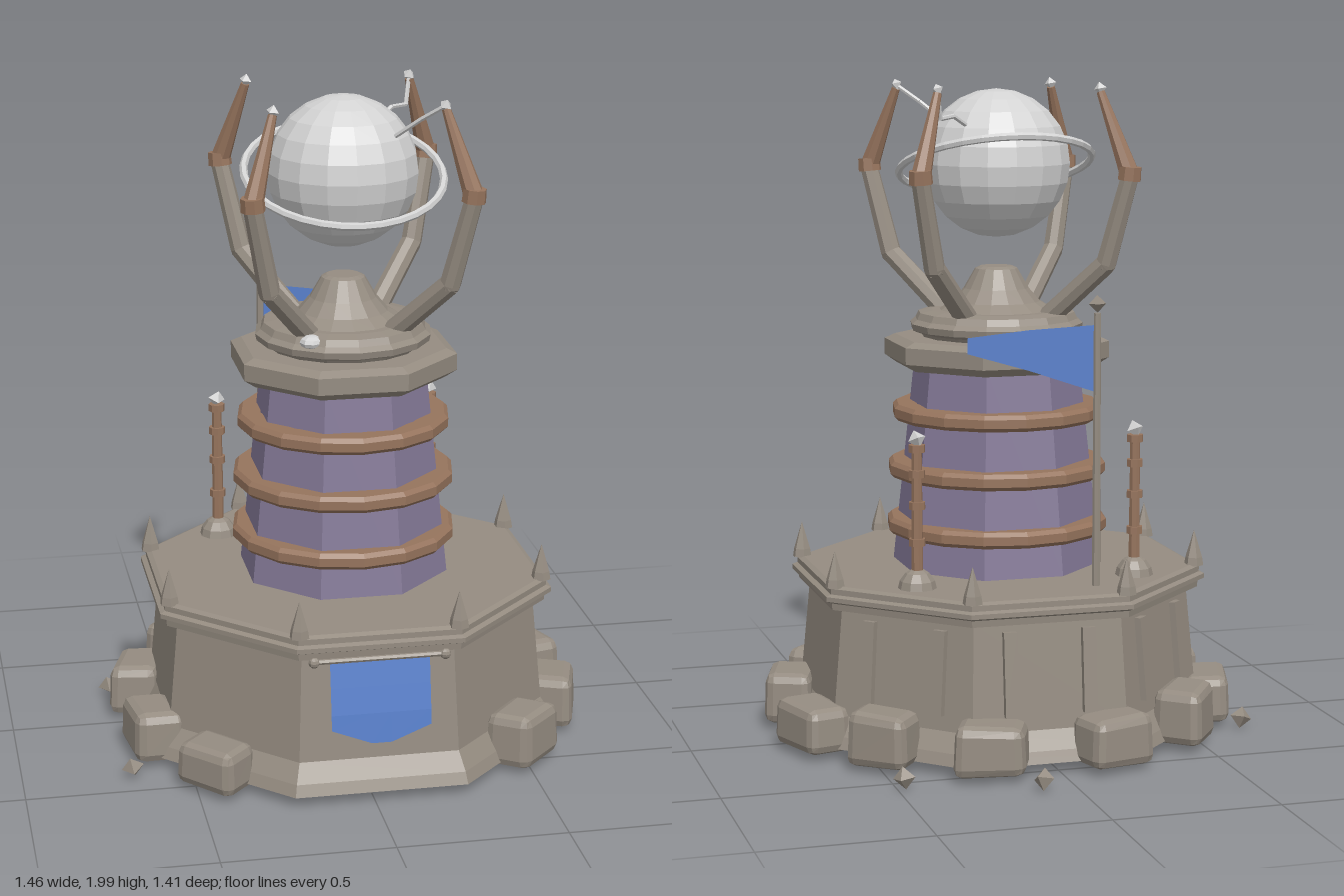
import * as THREE from 'three';
import { RoundedBoxGeometry } from 'three/addons/geometries/RoundedBoxGeometry.js';

const mat = (name, color, side = THREE.FrontSide) => {
  const m = new THREE.MeshStandardMaterial({ color, flatShading: true, side });
  m.name = name;
  return m;
};
const V = (x, y, z) => new THREE.Vector3(x, y, z);

export function createModel() {
  const stone = mat('stone', 0x958c81, THREE.DoubleSide);
  const purple = mat('purple wall', 0x857a98);
  const copper = mat('copper', 0x96745d);
  const silver = mat('silver', 0xd2d2d2);
  const blue = mat('blue cloth', 0x5880cc, THREE.DoubleSide);

  const model = new THREE.Group();
  model.name = 'orbTower';
  const root = new THREE.Group();
  root.name = 'tower';
  root.position.set(0.02, 0, 0.085);
  model.add(root);

  const add = (name, geo, material, pos) => {
    const mesh = new THREE.Mesh(geo, material);
    mesh.name = name;
    if (pos) mesh.position.copy(pos);
    root.add(mesh);
    return mesh;
  };
  // Octagonal lathe with flats facing the axes; profile gives [apothem, y]
  const octagon = (name, profile, material) => add(name, new THREE.LatheGeometry(
    profile.map(([a, y]) => new THREE.Vector2(a / Math.cos(Math.PI / 8), y)), 8, Math.PI / 8), material);
  const lathe = (name, profile, sides, material, pos) => add(name, new THREE.LatheGeometry(
    profile.map(([r, y]) => new THREE.Vector2(r, y)), sides), material, pos);
  // Tapered rod between two points
  const rod = (name, a, b, r0, r1, material, sides = 8) => {
    const dir = b.clone().sub(a);
    const m = add(name, new THREE.CylinderGeometry(r1, r0, dir.length(), sides), material,
      a.clone().add(b).multiplyScalar(0.5));
    m.quaternion.setFromUnitVectors(V(0, 1, 0), dir.normalize());
    return m;
  };
  const crystal = (name, pos, r, material) => {
    const m = add(name, new THREE.OctahedronGeometry(r), material, pos);
    m.rotation.set(0.3, pos.x * 9, 0.25);
    return m;
  };

  // Hollow base, rim and deck
  octagon('baseWall', [[0.618, 0.04], [0.605, 0.075], [0.572, 0.13], [0.543, 0.45]], stone);
  octagon('rim', [[0.54, 0.445], [0.575, 0.45], [0.577, 0.47], [0.595, 0.478], [0.595, 0.492],
    [0.58, 0.498], [0.58, 0.515], [0.565, 0.522], [0, 0.522]], stone);

  // Spikes at the rim corners
  for (let i = 0; i < 8; i++) {
    const a = Math.PI / 8 + i * Math.PI / 4;
    lathe('rimSpike', [[0.03, 0], [0.026, 0.025], [0, 0.11]], 6, stone,
      V(Math.sin(a) * 0.612, 0.518, Math.cos(a) * 0.612));
  }

  // Vertical ribs on the three back sides
  for (const a of [0.75, 1, 1.25]) for (const s of [-1, 1]) {
    const g = new THREE.BoxGeometry(0.04, 0.25, 0.03);
    g.rotateX(-0.09);
    g.translate(s * 0.12, 0.3, 0.562);
    g.rotateY(a * Math.PI);
    add('wallRib', g, stone);
  }

  // Boulders around the foot: x, z, width, height
  const boulders = [[-0.18, -0.61, 0.21, 0.15], [0.195, -0.61, 0.21, 0.15], [-0.47, -0.43, 0.2, 0.17],
    [0.47, -0.43, 0.2, 0.16], [-0.615, -0.2, 0.22, 0.15], [0.625, -0.205, 0.23, 0.14],
    [-0.615, 0.165, 0.21, 0.15], [0.625, 0.145, 0.2, 0.16], [-0.46, 0.44, 0.21, 0.13], [0.46, 0.43, 0.2, 0.16]];
  boulders.forEach(([x, z, w, h], i) => {
    const g = new RoundedBoxGeometry(w, h, 0.15, 1, 0.028);
    const p = g.attributes.position;
    for (let k = 0; k < p.count; k++) {
      const px = p.getX(k), py = p.getY(k), pz = p.getZ(k);
      const t = 1 - 0.9 * Math.max(0, py) + 0.6 * Math.sin(i * 2.3) * px;
      p.setXYZ(k, px * t + pz * 0.15 * Math.sin(i * 5), py * (1 + 0.5 * Math.cos(i * 3) * px), pz * t);
    }
    add('boulder', g, stone, V(x, 0.025 + h / 2, z)).rotation.y = Math.atan2(x, z) + 0.1 * Math.sin(i * 7);
  });
  for (const [x, z] of [[0.08, -0.77], [0.46, -0.645], [-0.7, -0.305], [-0.695, 0.32]]) {
    crystal('looseStone', V(x, 0.042, z), 0.034, stone);
  }

  // Purple tower with copper hoops
  octagon('towerWall', [[0.298, 0.52], [0.235, 1.15]], purple);
  for (const [y, r] of [[0.645, 0.34], [0.82, 0.336], [0.995, 0.322]]) {
    lathe('hoop', [[r - 0.07, y - 0.025], [r - 0.012, y - 0.025], [r, y - 0.013], [r, y + 0.013],
      [r - 0.012, y + 0.025], [r - 0.07, y + 0.025]], 16, copper);
  }

  // Capital, round plate and flared cap
  octagon('capital', [[0.2, 1.135], [0.285, 1.135], [0.32, 1.16], [0.32, 1.21], [0.29, 1.225], [0, 1.225]], stone);
  lathe('capPlate', [[0.225, 1.22], [0.235, 1.235], [0.262, 1.245], [0.266, 1.265], [0.25, 1.278], [0.24, 1.298],
    [0.2, 1.305], [0.175, 1.305], [0.135, 1.33], [0.1, 1.37], [0.065, 1.43], [0.05, 1.437], [0, 1.437]], 16, stone);
  add('silverPatch', new THREE.SphereGeometry(0.035, 8, 6), silver, V(-0.13, 1.285, 0.19)).scale.set(1, 0.6, 1);

  // Four jointed claws on the diagonals
  for (const sx of [-1, 1]) for (const sz of [-1, 1]) {
    const at = (d, y) => V(sx * d, y, sz * d);
    const foot = at(0.12, 1.28), elbow = at(0.265, 1.46), joint = at(0.32, 1.725), tip = at(0.25, 1.97);
    rod('clawFoot', foot, elbow, 0.034, 0.032, stone);
    add('clawElbow', new THREE.SphereGeometry(0.032, 8, 6), stone, elbow);
    rod('clawArm', elbow, joint, 0.032, 0.028, stone);
    rod('clawCollar', at(0.318, 1.712), at(0.321, 1.752), 0.036, 0.034, copper);
    rod('clawFinger', joint, tip, 0.031, 0.013, copper);
    crystal('clawTip', at(0.249, 1.98), 0.02, silver);
  }

  // Orb, tilted orbit ring and wires
  add('orb', new THREE.SphereGeometry(0.225, 16, 12), silver, V(0, 1.75, 0));
  const orbit = add('orbitRing', new THREE.TorusGeometry(0.295, 0.012, 6, 32), silver, V(0, 1.745, 0.01));
  orbit.rotation.x = Math.PI / 2 + 0.34;
  const wires = [[V(0.25, 1.98, 0.25), V(0.19, 1.93, 0.19), V(0.12, 1.865, 0.125)],
    [V(0.25, 1.98, -0.25), V(0.235, 1.895, -0.225), V(0.18, 1.9, -0.17), V(0.12, 1.865, -0.12)]];
  for (const w of wires) {
    for (let i = 1; i < w.length; i++) rod('wire', w[i - 1], w[i], 0.007, 0.007, silver, 6);
  }

  // Two copper posts behind the tower
  for (const s of [-1, 1]) {
    const x = s * 0.338, z = -0.33;
    lathe('postFoot', [[0.058, 0.52], [0.052, 0.545], [0.035, 0.568], [0.02, 0.577], [0, 0.577]], 10, stone, V(x, 0, z));
    rod('post', V(x, 0.56, z), V(x, 0.95, z), 0.018, 0.015, copper);
    for (const y of [0.66, 0.77, 0.865, 0.94]) rod('postBand', V(x, y - 0.011, z), V(x, y + 0.011, z), 0.025, 0.025, copper);
    crystal('postTip', V(x, 0.968, z), 0.027, silver);
  }

  // Flagpole with pennant
  const px = -0.18, pz = -0.443;
  rod('flagpole', V(px, 0.52, pz), V(px, 1.335, pz), 0.013, 0.011, stone);
  crystal('flagpoleTip', V(px, 1.362, pz), 0.026, stone);
  const pennant = new THREE.Shape([[0, 1.3], [0.2, 1.285], [0.38, 1.262], [0.38, 1.215], [0.2, 1.165], [0, 1.1]]
    .map(([x, y]) => new THREE.Vector2(x, y)));
  add('pennant', new THREE.ShapeGeometry(pennant), blue, V(px, 0, pz)).rotation.y = -0.25;

  // Front banner, curving outward, on a rod with knobs
  const w = 0.147;
  const rows = [[0.437, 0.572], [0.36, 0.585], [0.28, 0.598], [0.235, 0.602]];
  const pts = [], idx = [];
  rows.forEach(([y, z], i) => {
    for (const [k, u] of [-1, -0.2, 0.2, 1].entries()) {
      const drop = i === 3 && Math.abs(u) < 1 ? 0.045 : 0;
      pts.push(u * w, y - drop, z + drop * 0.1);
      const a = i * 4 + k;
      if (i < 3 && k < 3) idx.push(a, a + 4, a + 1, a + 1, a + 4, a + 5);
    }
  });
  const cloth = new THREE.BufferGeometry();
  cloth.setAttribute('position', new THREE.Float32BufferAttribute(pts, 3));
  cloth.setIndex(idx);
  cloth.computeVertexNormals();
  add('banner', cloth, blue);
  rod('bannerRod', V(-0.19, 0.44, 0.572), V(0.19, 0.44, 0.572), 0.008, 0.008, stone, 6);
  for (const s of [-1, 1]) add('bannerKnob', new THREE.SphereGeometry(0.017, 8, 6), stone, V(s * 0.193, 0.44, 0.572));

  return model;
}
